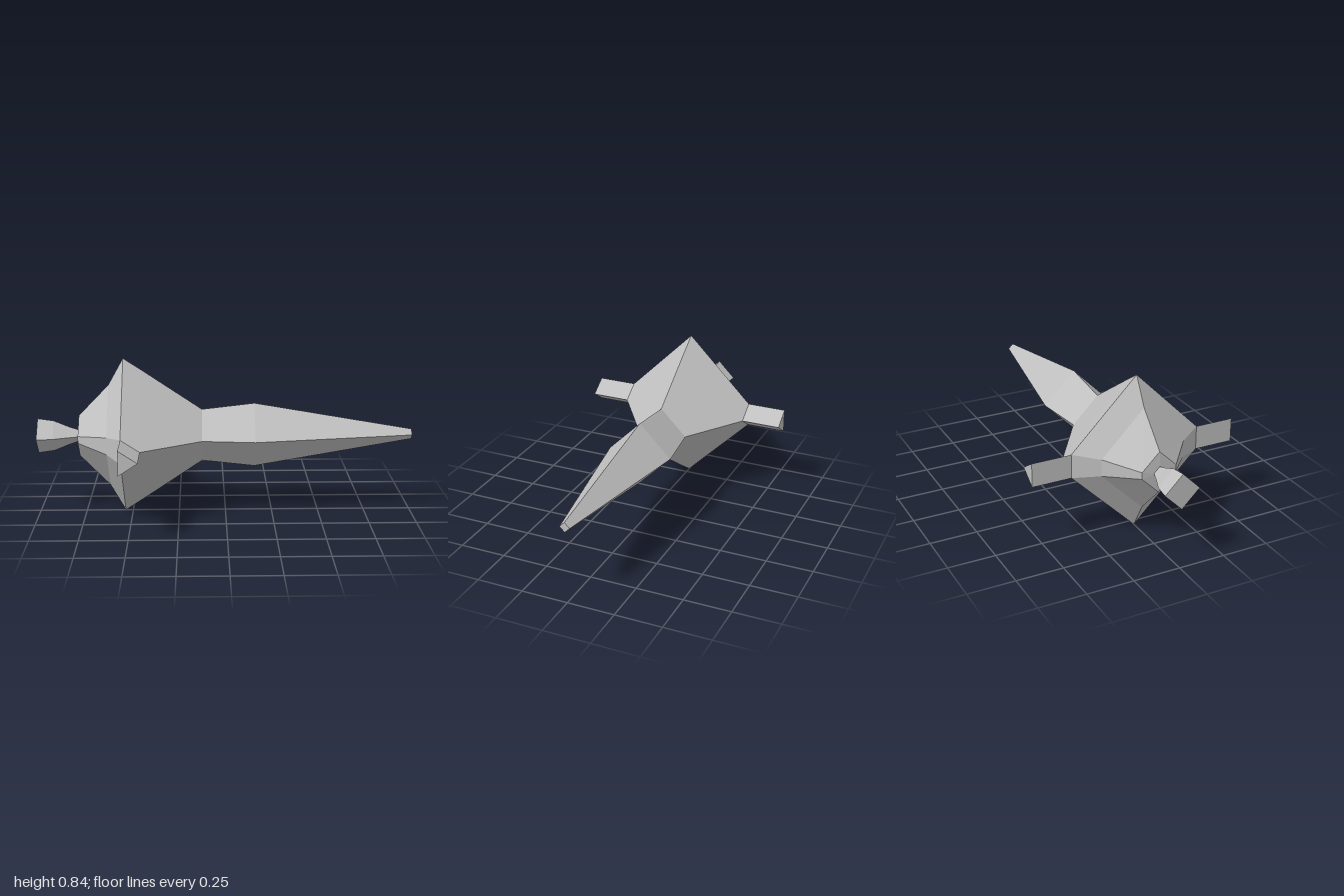
import * as THREE from 'three';

const CENTRE_Y = 0.42;

// Loft along x. Each section is [x, r, z, h]: a diamond of radius r whose
// side corners are cut flat at +-z, leaving an edge of half height h.
function loft(sections) {
  const rings = sections.map(([x, r, z = r, h = 0]) =>
    [[r, 0], [h, z], [-h, z], [-r, 0], [-h, -z], [h, -z]]
      .map(([y, w]) => new THREE.Vector3(x, y, w)));
  const pos = [];
  const tri = (a, b, c) => {
    if (new THREE.Triangle(a, b, c).getArea() < 1e-7) return;
    for (const p of [a, b, c]) pos.push(p.x, p.y, p.z);
  };
  for (let k = 0; k < rings.length - 1; k++) {
    const a = rings[k], b = rings[k + 1];
    for (let i = 0; i < 6; i++) {
      const j = (i + 1) % 6;
      tri(a[i], a[j], b[j]);
      tri(a[i], b[j], b[i]);
    }
  }
  // end caps
  const first = rings[0], last = rings[rings.length - 1];
  for (let i = 1; i < 5; i++) {
    tri(first[0], first[i + 1], first[i]);
    tri(last[0], last[i], last[i + 1]);
  }
  const geometry = new THREE.BufferGeometry();
  geometry.setAttribute('position', new THREE.Float32BufferAttribute(pos, 3));
  geometry.computeVertexNormals();
  return geometry;
}

export function createModel() {
  const group = new THREE.Group();
  const grey = new THREE.MeshStandardMaterial({ color: 0xc0c0c0, flatShading: true });
  grey.name = 'hull grey';

  const add = (name, geometry) => {
    const mesh = new THREE.Mesh(geometry, grey);
    mesh.name = name;
    mesh.position.y = CENTRE_Y;
    group.add(mesh);
    return mesh;
  };

  // flared nozzle at the tail
  add('tailNozzle', loft([
    [-1, 0.094], [-0.915, 0.082], [-0.835, 0.049], [-0.78, 0.03],
  ]));

  // wide faceted hull, cut flat at the sides
  add('hull', loft([
    [-0.785, 0.03, 0.028, 0.005], [-0.78, 0.11, 0.094, 0.018],
    [-0.62, 0.275, 0.23, 0.045], [-0.54, 0.418, 0.354, 0.064],
    [-0.442, 0.354], [-0.125, 0.141],
  ]));

  // long tapering nose
  add('nose', loft([[-0.125, 0.141], [0.155, 0.173], [1, 0.027]]));

  // triangular side pods
  const wedge = new THREE.Shape([
    new THREE.Vector2(-0.54, -0.064),
    new THREE.Vector2(-0.442, 0),
    new THREE.Vector2(-0.54, 0.064),
  ]);
  for (const [name, z] of [['frontPod', 0.354], ['backPod', -0.564]]) {
    add(name, new THREE.ExtrudeGeometry(wedge, { depth: 0.21, bevelEnabled: false })).position.z = z;
  }
  return group;
}
